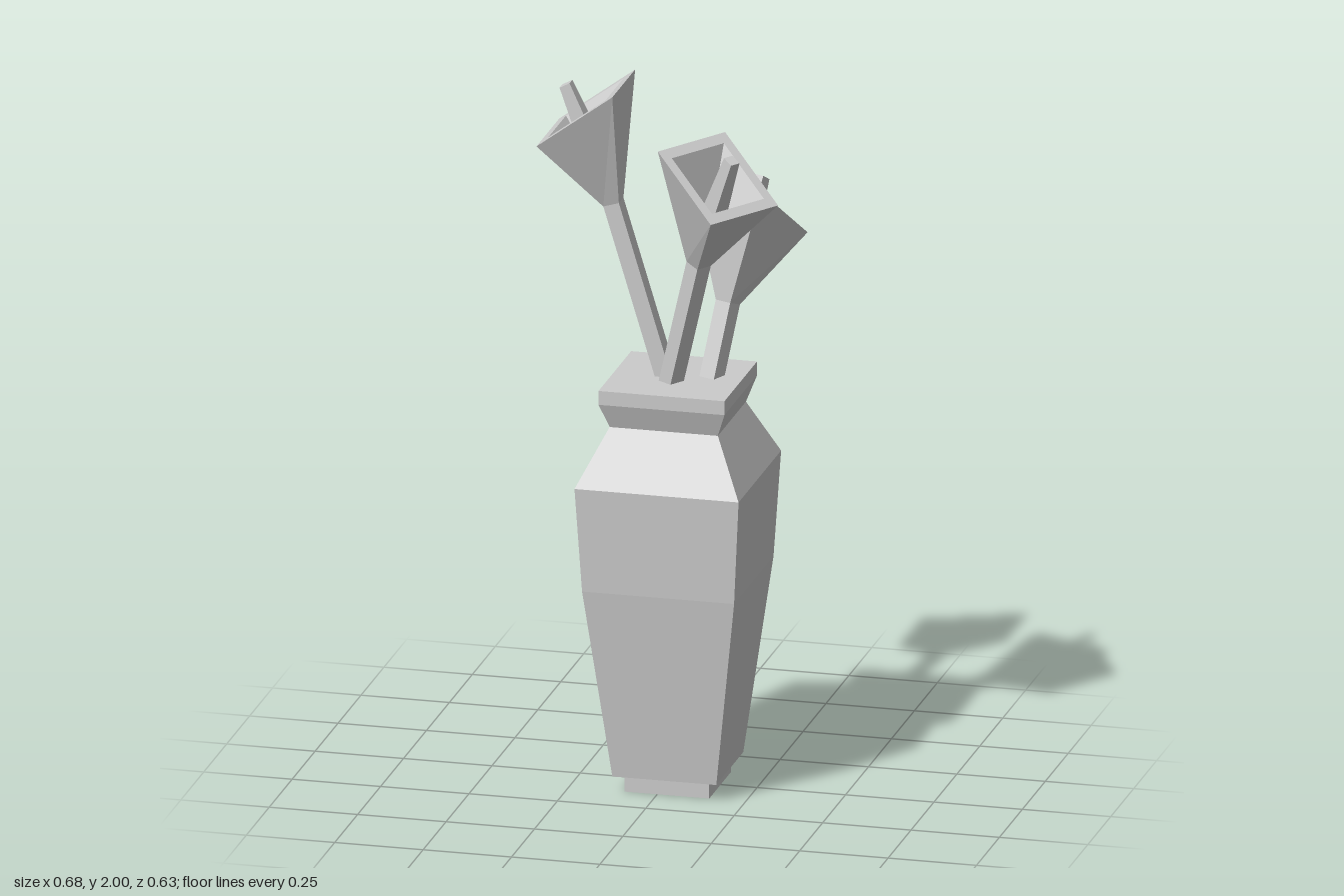
import * as THREE from 'three';

const material = new THREE.MeshStandardMaterial({ color: 0xcccccc, flatShading: true });

// Four corners of a rectangle centred at (x, y), tilted towards +x by an angle in degrees
function ring({ x = 0, y, tilt = 0, w, d = w }) {
  const t = THREE.MathUtils.degToRad(tilt);
  return [[-1, 1], [1, 1], [1, -1], [-1, -1]].map(([i, k]) =>
    new THREE.Vector3(x + i * w * Math.cos(t), y - i * w * Math.sin(t), k * d));
}

// Skin through a list of rectangular sections, closed at both ends
function loft(name, sections) {
  const rings = sections.map(ring);
  const points = [];
  const quad = (a, b, c, d) => points.push(a, b, c, a, c, d);
  for (let s = 0; s < rings.length - 1; s++) {
    const lo = rings[s], hi = rings[s + 1];
    for (let i = 0; i < 4; i++) {
      const j = (i + 1) % 4;
      quad(lo[i], lo[j], hi[j], hi[i]);
    }
  }
  quad(...[...rings[0]].reverse());
  quad(...rings[rings.length - 1]);
  const geometry = new THREE.BufferGeometry().setFromPoints(points);
  geometry.computeVertexNormals();
  const mesh = new THREE.Mesh(geometry, material);
  mesh.name = name;
  return mesh;
}

// Flower leaning towards +x, with its origin at the centre of the rim
function createFlower(name, stemDrop) {
  const flower = new THREE.Group();
  flower.name = name;
  const base = { x: -0.078, y: -0.265, tilt: 17, w: 0.023, d: 0.025 };
  const floor = { x: -0.035, y: -0.15, tilt: 30, w: 0.0275 };

  // Straight stem, its foot sunk into the vase
  const foot = { ...base, x: base.x - 0.304 * (stemDrop + base.y), y: -stemDrop };
  flower.add(loft('stem', [foot, base]));

  // Funnel-shaped head with a flat rim and a hollow centre
  flower.add(loft('flowerHead', [
    base,
    { y: 0, tilt: 36.6, w: 0.1335, d: 0.125 },
    { y: 0, tilt: 36.6, w: 0.101, d: 0.0965 },
    floor,
  ]));

  // Tapered stamen rising from the hollow
  flower.add(loft('stamen', [floor, { x: 0.056, y: 0.065, tilt: 28, w: 0.016 }]));
  return flower;
}

export function createModel() {
  const model = new THREE.Group();
  model.name = 'vaseWithFlowers';

  // Square vase: foot, body, shoulder, neck and lip
  const vase = loft('vase', [
    { y: 0, w: 0.12 },
    { y: 0.05, w: 0.12 },
    { y: 0.05, w: 0.147 },
    { y: 0.6, w: 0.215 },
    { y: 0.9, w: 0.232 },
    { y: 1.06, w: 0.153 },
    { y: 1.13, w: 0.178 },
    { y: 1.17, w: 0.178 },
  ]);
  vase.position.set(0.027, 0, 0.005);
  model.add(vase);

  // Flowers: rim centre, heading around y, extra lean
  const flowers = [
    { name: 'rightFlower', at: [-0.235, 1.92, -0.002], heading: Math.PI, lean: 0 },
    { name: 'frontFlower', at: [0.178, 1.8, 0.15], heading: -0.575, lean: 0 },
    { name: 'backFlower', at: [0.181, 1.625, -0.171], heading: 1.16, lean: 0.05 },
  ];
  for (const { name, at, heading, lean } of flowers) {
    const flower = createFlower(name, at[1] - 1.12);
    flower.position.set(...at);
    flower.rotation.set(0, heading, -lean);
    model.add(flower);
  }
  return model;
}
